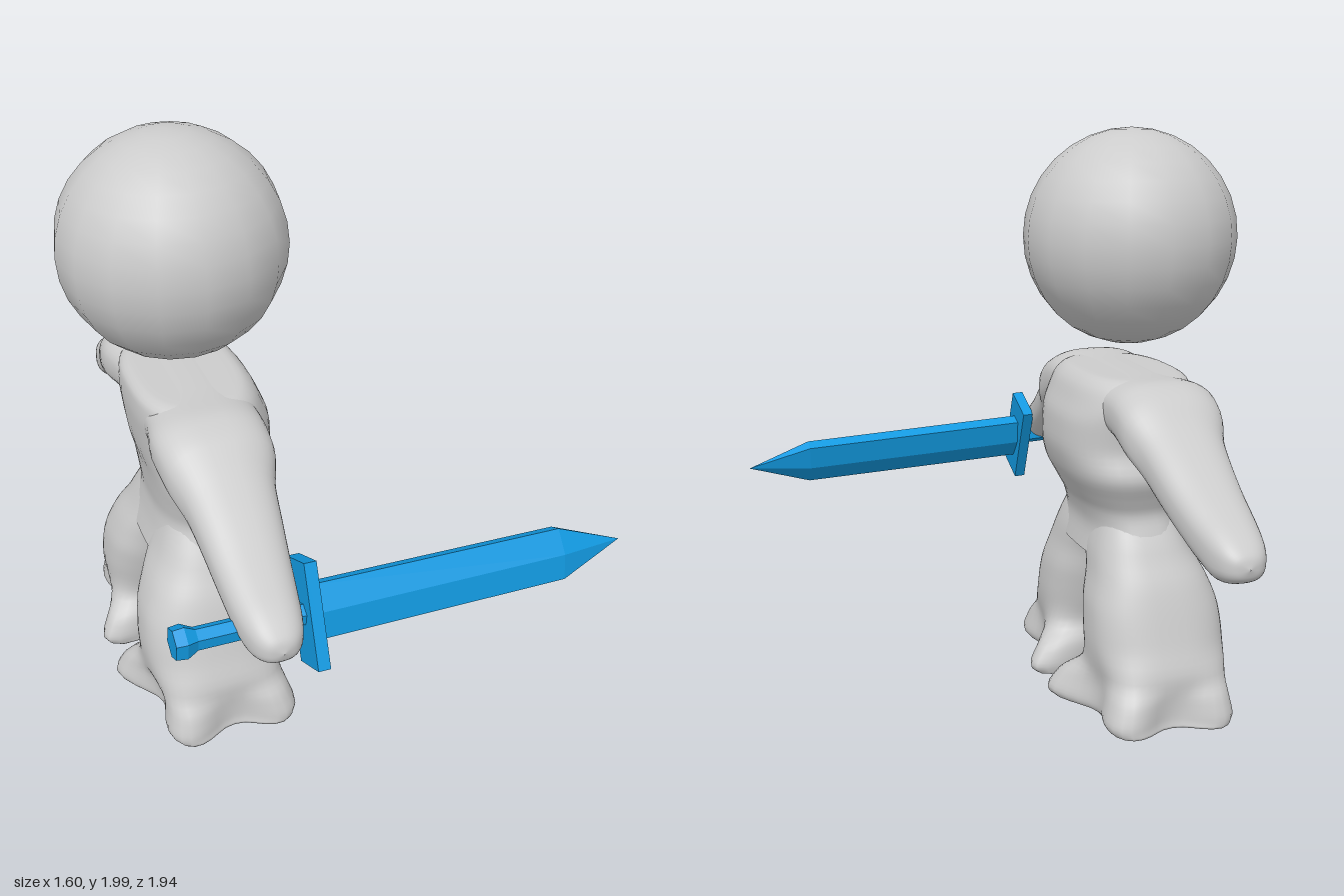
import * as THREE from 'three';

const grey = new THREE.MeshStandardMaterial({ color: 0xcccccc });
const blue = new THREE.MeshStandardMaterial({ color: 0x1299e0, flatShading: true });

// Monotone cubic interpolation between rows of section values
function sampleRows(rows, t) {
  const last = rows.length - 1;
  const i = Math.min(Math.floor(t), last - 1), f = t - i;
  const tangent = (j, c) => {
    if (j === 0 || j === last) return rows[j === 0 ? 1 : last][c] - rows[j === 0 ? 0 : last - 1][c];
    const a = rows[j][c] - rows[j - 1][c], b = rows[j + 1][c] - rows[j][c];
    return a * b <= 0 ? 0 : (2 * a * b) / (a + b);
  };
  return rows[i].map((p, c) => {
    const q = rows[i + 1][c], f2 = f * f, f3 = f2 * f;
    return p * (2 * f3 - 3 * f2 + 1) + tangent(i, c) * (f3 - 2 * f2 + f)
      + q * (3 * f2 - 2 * f3) + tangent(i + 1, c) * (f3 - f2);
  });
}

// Closed smooth surface through rounded sections; point(row, angle) gives [x, y, z]
function loft(name, rows, point, sides = 40, steps = 4) {
  const pos = [], index = [], rings = (rows.length - 1) * steps;
  for (let r = 0; r <= rings; r++) {
    const row = sampleRows(rows, r / steps);
    for (let s = 0; s < sides; s++) pos.push(...point(row, (s / sides) * Math.PI * 2));
  }
  for (let r = 0; r < rings; r++) {
    for (let s = 0; s < sides; s++) {
      const a = r * sides + s, b = r * sides + (s + 1) % sides;
      index.push(a, a + sides, b, b, a + sides, b + sides);
    }
  }
  const g = new THREE.BufferGeometry();
  g.setAttribute('position', new THREE.Float32BufferAttribute(pos, 3));
  g.setIndex(index);
  g.computeVertexNormals();
  const mesh = new THREE.Mesh(g, grey);
  mesh.name = name;
  return mesh;
}

// Superellipse coordinate, a little squarer than a circle
const round = (v) => Math.sign(v) * Math.abs(v) ** (2 / 2.6);

function createTorso() {
  // y, back x, front x, half width in z
  const rows = [
    [0.56, -0.60, -0.25, 0.32], [0.65, -0.575, -0.265, 0.288], [0.72, -0.565, -0.25, 0.268],
    [0.78, -0.57, -0.22, 0.288], [0.86, -0.58, -0.18, 0.318], [0.95, -0.60, -0.16, 0.29],
    [1.03, -0.61, -0.165, 0.30], [1.10, -0.615, -0.19, 0.315], [1.16, -0.61, -0.22, 0.30],
    [1.188, -0.57, -0.27, 0.24], [1.188, -0.421, -0.419, 0.001],
  ];
  return loft('torso', rows, ([y, x0, x1, hz], a) => [
    (x0 + x1) / 2 + ((x1 - x0) / 2) * round(Math.cos(a)), y, hz * round(Math.sin(a)),
  ]);
}

function createArms() {
  // z, top y, bottom y, back x, front x
  const half = [
    [0.15, 1.19, 1.0, -0.60, -0.25], [0.3, 1.195, 0.98, -0.62, -0.25],
    [0.4, 1.168, 0.94, -0.61, -0.252], [0.5, 1.088, 0.88, -0.575, -0.285],
    [0.6, 1.02, 0.825, -0.56, -0.30], [0.7, 0.955, 0.775, -0.55, -0.315],
    [0.8, 0.903, 0.73, -0.54, -0.33], [0.88, 0.865, 0.705, -0.525, -0.345],
    [0.93, 0.832, 0.717, -0.505, -0.365], [0.958, 0.802, 0.738, -0.475, -0.395],
    [0.968, 0.771, 0.769, -0.436, -0.434],
  ];
  const rows = [...half.map(([z, ...v]) => [-z, ...v]).reverse(), ...half];
  return loft('shouldersAndArms', rows, ([z, y1, y0, x0, x1], a) => [
    (x0 + x1) / 2 + ((x1 - x0) / 2) * round(Math.sin(a)),
    (y0 + y1) / 2 + ((y1 - y0) / 2) * round(Math.cos(a)), z,
  ]);
}

function createLeg(name, side) {
  // y, centre x, half x, centre z, half z, four-point flare, narrowing outward
  const rows = [
    [0.012, -0.435, 0.001, 0.29, 0.001, 0.2, 0.2], [0.035, -0.435, 0.25, 0.29, 0.235, 0.22, 0.22],
    [0.065, -0.435, 0.265, 0.287, 0.235, 0.23, 0.22], [0.13, -0.44, 0.25, 0.285, 0.225, 0.18, 0.2],
    [0.2, -0.45, 0.235, 0.288, 0.195, 0.05, 0.1], [0.3, -0.45, 0.235, 0.255, 0.187, 0, 0.03],
    [0.4, -0.448, 0.228, 0.224, 0.186, 0, 0], [0.5, -0.442, 0.2, 0.193, 0.18, 0, 0],
    [0.6, -0.425, 0.165, 0.145, 0.173, 0, 0], [0.7, -0.42, 0.13, 0.12, 0.135, 0, 0],
  ];
  return loft(name, rows, ([y, xc, hx, zc, hz, flare, taper], angle) => {
    const a = angle * side, r = 1 - flare * Math.cos(4 * a);
    const c = round(Math.cos(a)) * r, s = round(Math.sin(a)) * r;
    return [xc + hx * c * (1 - taper * s), y, side * (zc + hz * s)];
  }, 48);
}

function createSword() {
  const sword = new THREE.Group();
  sword.name = 'sword';
  // Local y runs along the blade, local x across its width
  const add = (name, geometry, y, sx = 1, sz = 1) => {
    geometry.scale(sx, 1, sz);
    const mesh = new THREE.Mesh(geometry, blue);
    mesh.name = name;
    mesh.position.y = y;
    sword.add(mesh);
  };
  const prism = (top, bottom, length) => new THREE.CylinderGeometry(top, bottom, length, 6);
  add('blade', prism(0.97, 1, 0.865), 0.4325, 0.098, 0.045);
  add('bladeTip', prism(0, 0.97, 0.23), 0.98, 0.098, 0.045);
  add('guard', new THREE.BoxGeometry(0.327, 0.04, 0.143), 0);
  add('grip', prism(0.036, 0.036, 0.36), -0.18);
  add('pommelNeck', prism(0.036, 0.054, 0.035), -0.3725);
  add('pommel', prism(0.054, 0.05, 0.035), -0.4075);

  const along = new THREE.Vector3(1.5, -0.065, -0.028).normalize();
  const depth = new THREE.Vector3(0, -0.896, 0.443).cross(along).normalize();
  const across = along.clone().cross(depth);
  sword.quaternion.setFromRotationMatrix(new THREE.Matrix4().makeBasis(across, along, depth));
  sword.position.set(-0.297, 0.753, 0.803);
  return sword;
}

export function createModel() {
  const model = new THREE.Group();
  model.name = 'swordFigure';

  // Floating round head
  const head = new THREE.Mesh(new THREE.SphereGeometry(0.364, 16, 16), grey);
  head.name = 'head';
  head.position.set(-0.435, 1.636, 0);

  model.add(head, createTorso(), createArms(),
    createLeg('rightLeg', 1), createLeg('leftLeg', -1), createSword());
  return model;
}
